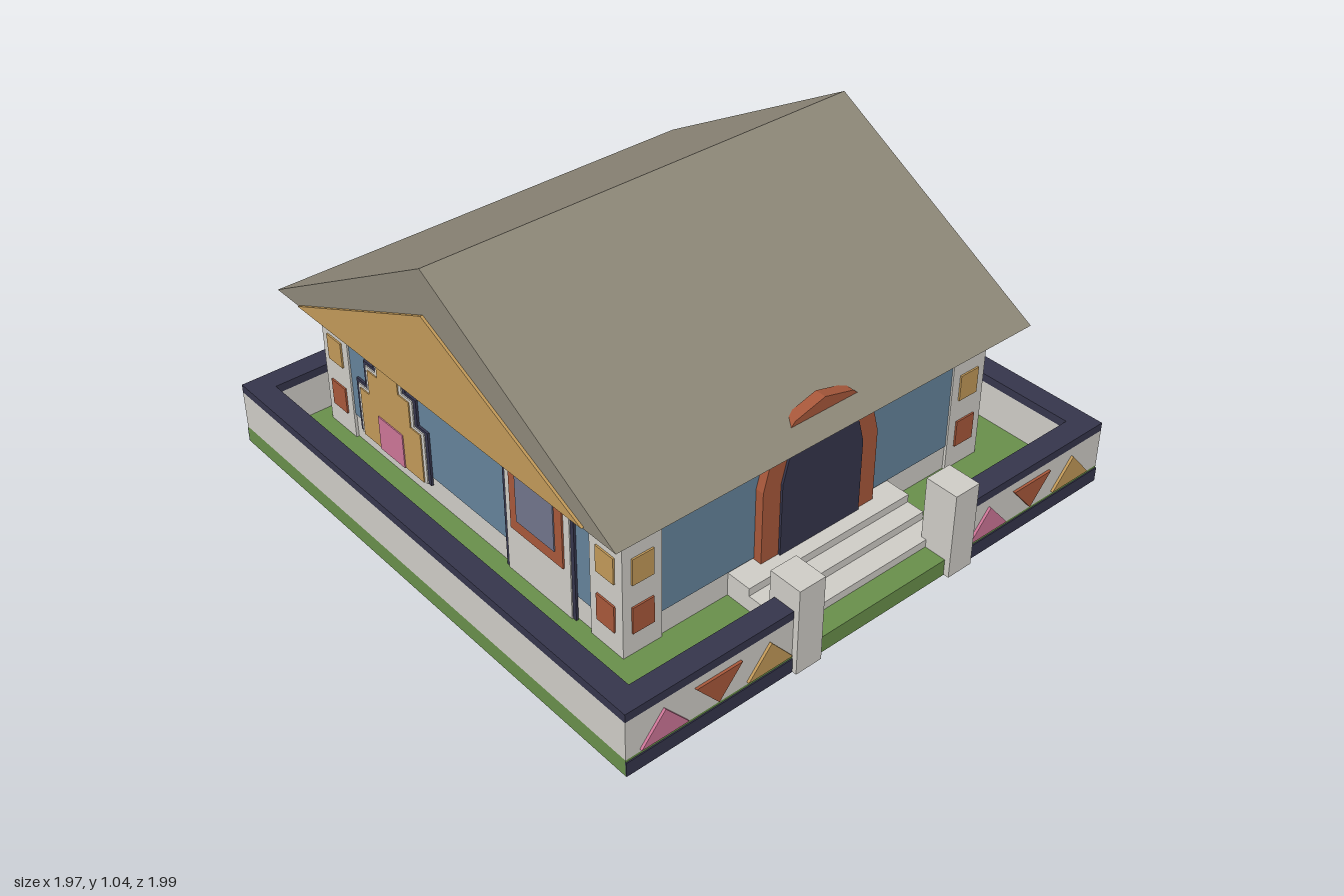
import * as THREE from 'three';

const mat = (name, color) => {
  const m = new THREE.MeshStandardMaterial({ color });
  m.name = name;
  return m;
};
const white = mat('plaster', 0xcdcbc5), navy = mat('navy', 0x35354b), green = mat('grass', 0x688e4a),
  gold = mat('ochre', 0xc09858), red = mat('terracotta', 0xa6573a), pink = mat('pink', 0xcb7596),
  blue = mat('windowBlue', 0x64829a), glass = mat('doorGlass', 0x70748a), roofGrey = mat('roof', 0x8d8778);

const HOUSE_Z = -0.085, HALF_X = 0.7325, HALF_Z = 0.7525;

function add(parent, name, material, geometry, x = 0, y = 0, z = 0) {
  const mesh = new THREE.Mesh(geometry, material);
  mesh.name = name;
  mesh.position.set(x, y, z);
  parent.add(mesh);
  return mesh;
}

// Box given by its min and max on each axis
function box(parent, name, material, [x0, x1], [y0, y1], [z0, z1]) {
  return add(parent, name, material, new THREE.BoxGeometry(x1 - x0, y1 - y0, z1 - z0),
    (x0 + x1) / 2, (y0 + y1) / 2, (z0 + z1) / 2);
}

// Thin plate whose face lies at z = front
const plate = (parent, name, material, x, w, ys, front) =>
  box(parent, name, material, [x - w / 2, x + w / 2], ys, [front - 0.008, front]);

const extrude = (points, depth) => new THREE.ExtrudeGeometry(
  new THREE.Shape(points.map(p => new THREE.Vector2(...p))), { depth, bevelEnabled: false });

// Painted triangle on the garden wall
function triangle(parent, x, up, material) {
  const [base, tip] = up ? [0.07, 0.17] : [0.17, 0.07];
  add(parent, 'wallTriangle', material, extrude([[x - 0.085, base], [x + 0.085, base], [x, tip]], 0.009));
}

// Framed glass door panel with plaster surround and navy jambs
function doorPanel(parent, x) {
  plate(parent, 'doorJamb', navy, x, 0.335, [0.06, 0.48], 0.012);
  plate(parent, 'doorSurround', white, x, 0.305, [0.06, 0.558], 0.016);
  plate(parent, 'doorFrame', red, x, 0.25, [0.235, 0.535], 0.022);
  plate(parent, 'doorGlass', glass, x, 0.18, [0.28, 0.5], 0.026);
}

// Stepped ornament: three outlines, the smallest in front
function steppedMotif(parent, x) {
  [[navy, 0.03, 0.02, 0.012], [white, 0.015, 0.01, 0.016], [gold, 0, 0, 0.02]].forEach(([m, grow, lift, front]) => {
    const top = m === gold ? 0.49 : 0.48;
    const half = [[0.168 + grow, 0.12], [0.168 + grow, 0.305 + lift], [0.115 + grow, 0.305 + lift],
      [0.115 + grow, 0.4 + lift], [0.058 + grow, 0.4 + lift], [0.058 + grow, top]];
    const mirrored = half.map(([a, b]) => [-a, b]).reverse();
    add(parent, 'steppedMotif', m, extrude([...half, ...mirrored], 0.008), x, 0, front - 0.008);
  });
  plate(parent, 'motifBase', pink, x, 0.135, [0.12, 0.248], 0.024);
}

// One house side in its own frame, facing +z
function facade(parent, name, angle, distance, pillar) {
  const pivot = new THREE.Group();
  pivot.name = name;
  pivot.rotation.y = angle;
  pivot.position.set(Math.sin(angle) * distance, 0, HOUSE_Z + Math.cos(angle) * distance);
  parent.add(pivot);
  plate(pivot, 'windowBand', blue, 0, (pillar - 0.0725) * 2, [0.15, 0.48], 0.004);
  for (const s of [-1, 1]) {
    plate(pivot, 'goldTile', gold, s * pillar, 0.08, [0.32, 0.415], 0.016);
    plate(pivot, 'redTile', red, s * pillar, 0.08, [0.14, 0.237], 0.016);
  }
  return pivot;
}

// Outline of an arch standing on y = bottom
function archPoints(r, bottom) {
  const pts = [[r, bottom]];
  for (let i = 0; i <= 6; i++) {
    const a = i * Math.PI / 6;
    pts.push([r * Math.cos(a), 0.41 + r * Math.sin(a)]);
  }
  pts.push([-r, bottom]);
  return pts;
}

function buildGarden(root) {
  const g = new THREE.Group();
  g.name = 'garden';
  root.add(g);
  box(g, 'lawn', green, [-0.985, 0.985], [0, 0.06], [-0.985, 0.98]);

  // Wall runs with navy caps
  const runs = [[[-0.985, 0.985], [-0.985, -0.905]]];
  for (const s of [-1, 1]) {
    const span = (a, b) => s > 0 ? [a, b] : [-b, -a];
    runs.push([span(0.905, 0.985), [-0.905, 0.9]], [span(0.36, 0.985), [0.9, 0.98]]);
    box(g, 'gatePost', white, span(0.27, 0.37), [0.002, 0.315], [0.88, 1]);
    box(g, 'frontPlinth', navy, span(0.37, 0.985), [0.001, 0.052], [0.978, 0.984]);
  }
  for (const [xs, zs] of runs) {
    box(g, 'gardenWall', white, xs, [0.06, 0.2], zs);
    box(g, 'wallCap', navy, xs, [0.2, 0.23], zs);
  }
  box(g, 'backPlinth', navy, [-0.985, 0.985], [0.001, 0.052], [-0.989, -0.983]);

  // Triangle friezes
  const colours = [pink, red, gold];
  const front = new THREE.Group(), back = new THREE.Group();
  front.name = 'frontFrieze';
  back.name = 'backFrieze';
  front.position.z = 0.98;
  back.position.z = -0.985;
  back.rotation.y = Math.PI;
  g.add(front, back);
  for (const middle of [-0.655, 0.65])
    for (let i = 0; i < 3; i++) triangle(front, middle + (i - 1) * 0.195, i !== 1, colours[i]);
  for (let i = 0; i < 8; i++) triangle(back, 0.787 - i * 0.225, i % 2 === 0, colours[i % 3]);

  // Entrance steps
  [0.9, 0.825, 0.76].forEach((z, i) =>
    box(g, 'step', white, [-0.335, 0.335], [0.06 + i * 0.0283, 0.06 + (i + 1) * 0.0283], [0.66, z]));
}

function buildHouse(root) {
  const h = new THREE.Group();
  h.name = 'house';
  root.add(h);
  box(h, 'walls', white, [-HALF_X, HALF_X], [0.06, 0.561], [HOUSE_Z - HALF_Z, HOUSE_Z + HALF_Z]);
  for (const sx of [-1, 1]) for (const sz of [-1, 1])
    add(h, 'cornerPillar', white, new THREE.BoxGeometry(0.145, 0.5, 0.145), sx * 0.67, 0.31, HOUSE_Z + sz * 0.69);

  facade(h, 'frontFacade', 0, HALF_Z, 0.67);
  doorPanel(facade(h, 'backFacade', Math.PI, HALF_Z, 0.67), 0);
  for (const s of [-1, 1]) {
    const side = facade(h, s > 0 ? 'leftFacade' : 'rightFacade', s * Math.PI / 2, HALF_X, 0.69);
    doorPanel(side, s * (HOUSE_Z - 0.298));
    steppedMotif(side, s * (HOUSE_Z + 0.46));
  }

  // Arched entrance
  add(h, 'entranceArch', red, extrude(archPoints(0.235, 0.1), 0.04), 0, 0, 0.662);
  add(h, 'entranceDoor', navy, extrude(archPoints(0.165, 0.1), 0.009), 0, 0, 0.701);
}

function buildRoof(root) {
  const r = new THREE.Group();
  r.name = 'roof';
  r.position.z = HOUSE_Z;
  r.rotation.y = Math.PI / 2;
  root.add(r);
  // Triangular prism with ochre gables on both ends
  add(r, 'roofPrism', roofGrey, extrude([[-0.853, 0.56], [0.853, 0.56], [0, 1.045]], 1.67), 0, 0, -0.835);
  for (const z of [-0.844, 0.835])
    add(r, 'gable', gold, extrude([[-0.718, 0.567], [0.718, 0.567], [0, 0.89]], 0.009), 0, 0, z);
}

export function createModel() {
  const root = new THREE.Group();
  root.name = 'cottage';
  buildGarden(root);
  buildHouse(root);
  buildRoof(root);
  return root;
}
